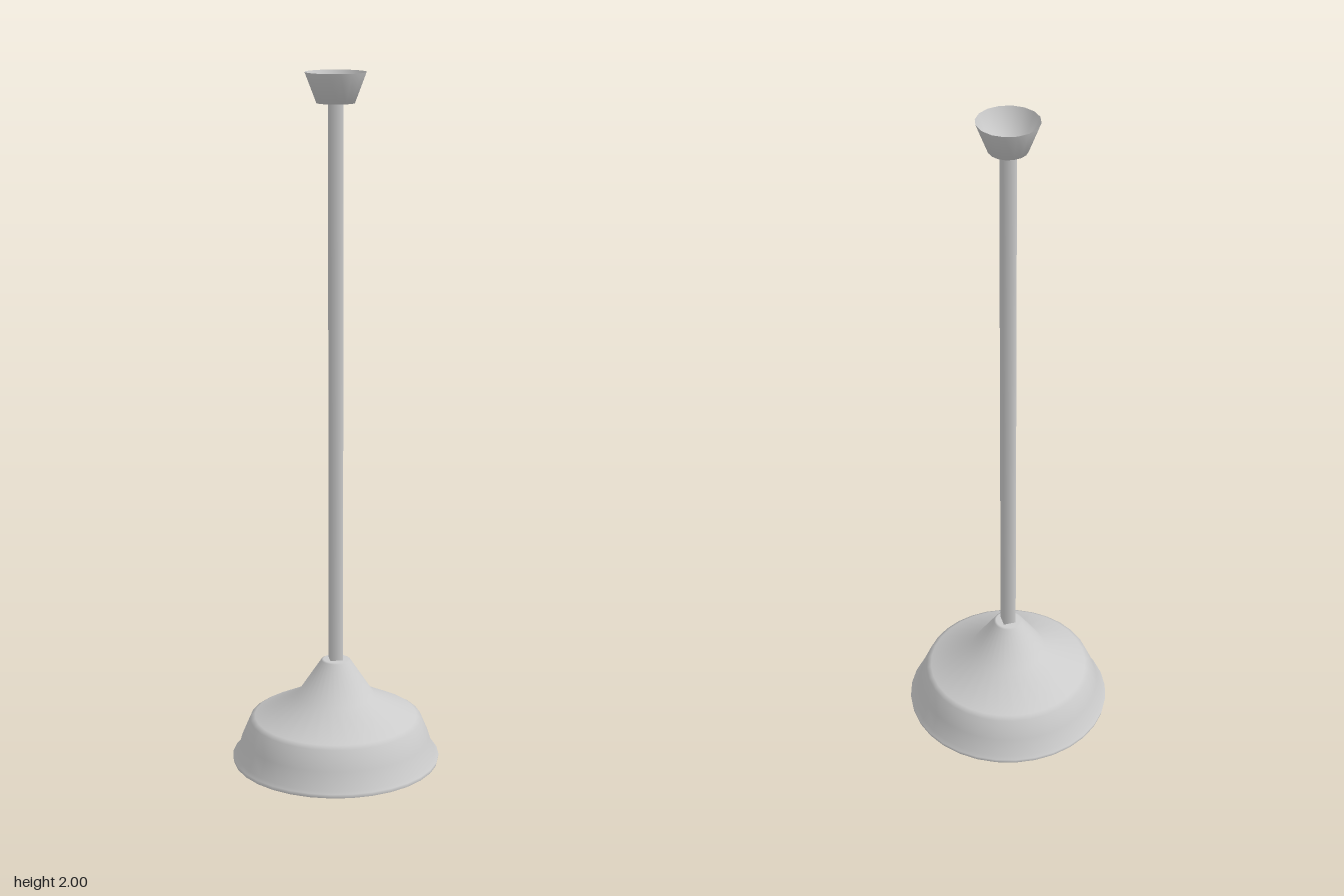
import * as THREE from 'three';

const material = new THREE.MeshStandardMaterial({ color: 0xcccccc, side: THREE.DoubleSide });

function add(group, name, geometry, y = 0) {
  const mesh = new THREE.Mesh(geometry, material);
  mesh.name = name;
  mesh.position.y = y;
  group.add(mesh);
}

// Surface of revolution from [radius, height] pairs, listed bottom to top
function turned(points, sides) {
  return new THREE.LatheGeometry(points.map(([r, y]) => new THREE.Vector2(r, y)), sides);
}

export function createModel() {
  const lamp = new THREE.Group();
  lamp.name = 'pendantLamp';

  // Ceiling cup, open at the top
  add(lamp, 'ceilingCup', turned([[0, 1.917], [0.053, 1.917], [0.085, 2]], 16));

  // Slender square rod running from the cup through the shade to the bulb
  const rodTop = 1.92, rodBottom = 0.1;
  const rod = new THREE.CylinderGeometry(0.026, 0.026, rodTop - rodBottom, 4);
  rod.rotateY(Math.PI / 4);
  add(lamp, 'rod', rod, (rodTop + rodBottom) / 2);

  // Stepped bell shade with a small flared rim, open underneath
  add(lamp, 'shade', turned([
    [0.298, 0.022], [0.3, 0.034], [0.288, 0.038],
    [0.272, 0.09], [0.249, 0.145], [0.235, 0.154],
    [0.113, 0.215], [0.042, 0.322], [0.036, 0.325], [0, 0.325],
  ], 32));

  // Round bulb peeking out below the rim
  add(lamp, 'bulb', new THREE.SphereGeometry(0.058, 16, 12), 0.058);

  return lamp;
}
